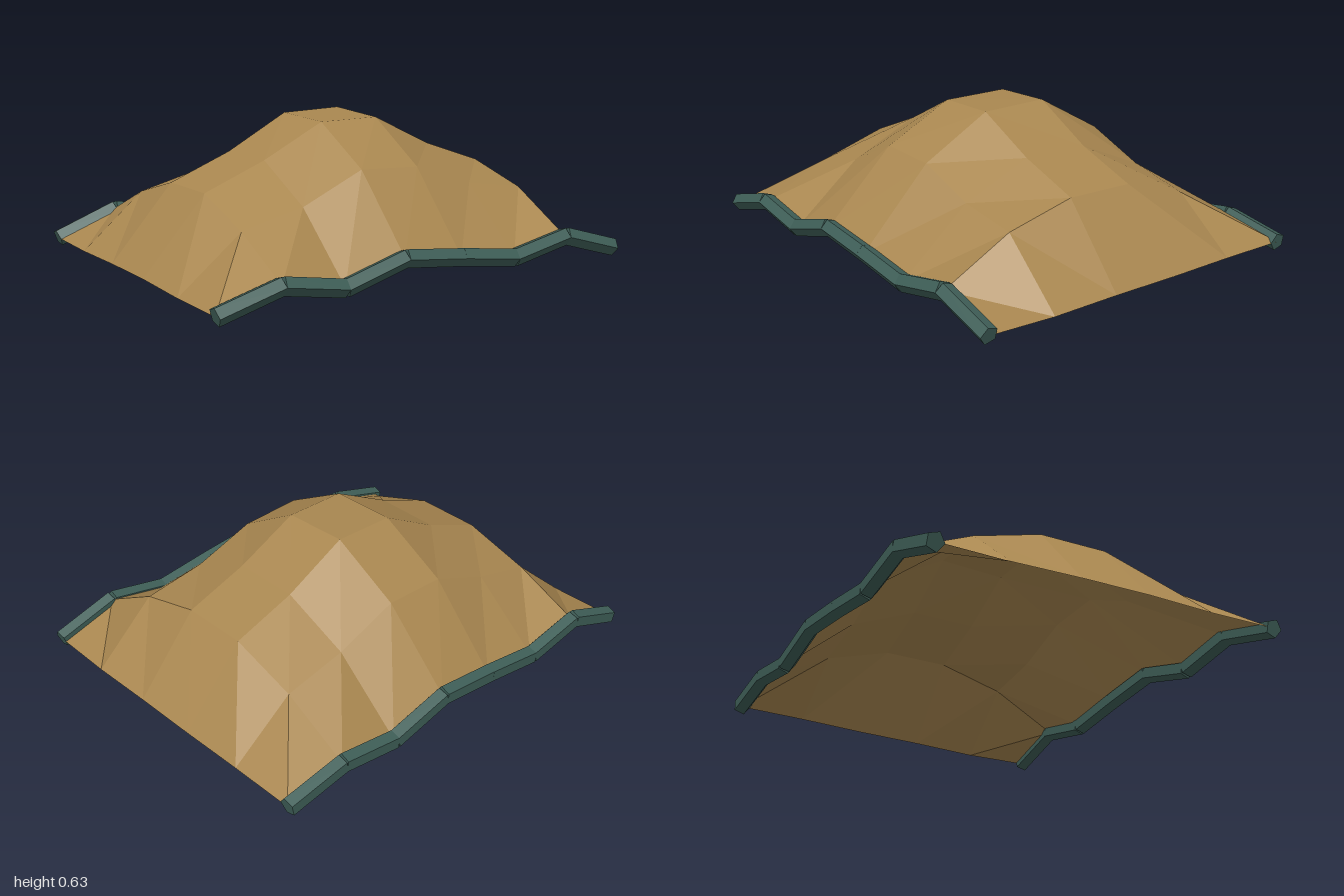
import * as THREE from 'three';

// Sheet heights: rows run back to front, columns run from -x to +x
const heights = [
  [0.04, 0.145, 0.09, 0.13, 0.16, 0.09, 0.13, 0.08],
  [0.04, 0.28, 0.35, 0.46, 0.465, 0.355, 0.29, 0.075],
  [0.05, 0.37, 0.48, 0.63, 0.635, 0.485, 0.385, 0.065],
  [0.055, 0.375, 0.485, 0.625, 0.625, 0.485, 0.385, 0.06],
  [0.05, 0.275, 0.34, 0.465, 0.45, 0.35, 0.305, 0.05],
  [0.055, 0.13, 0.08, 0.158, 0.125, 0.085, 0.14, 0.055],
];
const COLS = 7, ROWS = 5;
const WIDTH = 1.975, BACK = -0.777, FRONT = 0.769;

const columnX = (i) => (i / COLS - 0.5) * WIDTH;

export function createModel() {
  const group = new THREE.Group();
  const cloth = new THREE.MeshStandardMaterial({ color: 0xa98750, flatShading: true, side: THREE.DoubleSide });
  cloth.name = 'tan cloth';
  const trim = new THREE.MeshStandardMaterial({ color: 0x3f5f58, flatShading: true });
  trim.name = 'dark green trim';

  // Domed canopy sheet, one grid lifted by the height table
  const sheet = new THREE.PlaneGeometry(WIDTH, FRONT - BACK, COLS, ROWS);
  sheet.rotateX(-Math.PI / 2);
  sheet.translate(0, 0, (FRONT + BACK) / 2);
  const pos = sheet.attributes.position;
  heights.flat().forEach((y, i) => pos.setY(i, y));
  sheet.computeVertexNormals();
  const canopy = new THREE.Mesh(sheet, cloth);
  canopy.name = 'canopySheet';
  group.add(canopy);

  // Five-sided rods following the wavy front and back hems
  const addHem = (name, row, z) => {
    const hem = new THREE.Group();
    hem.name = name;
    for (let i = 0; i < COLS; i++) {
      const a = new THREE.Vector3(columnX(i), row[i], z);
      const b = new THREE.Vector3(columnX(i + 1), row[i + 1], z);
      const rod = new THREE.Mesh(new THREE.CylinderGeometry(0.04, 0.04, a.distanceTo(b), 5), trim);
      rod.name = name + 'Rod';
      rod.position.copy(a).add(b).multiplyScalar(0.5);
      rod.rotation.z = Math.atan2(b.y - a.y, b.x - a.x) - Math.PI / 2;
      hem.add(rod);
    }
    group.add(hem);
  };
  addHem('backHem', heights[0], BACK);
  addHem('frontHem', heights[ROWS], FRONT);

  return group;
}
